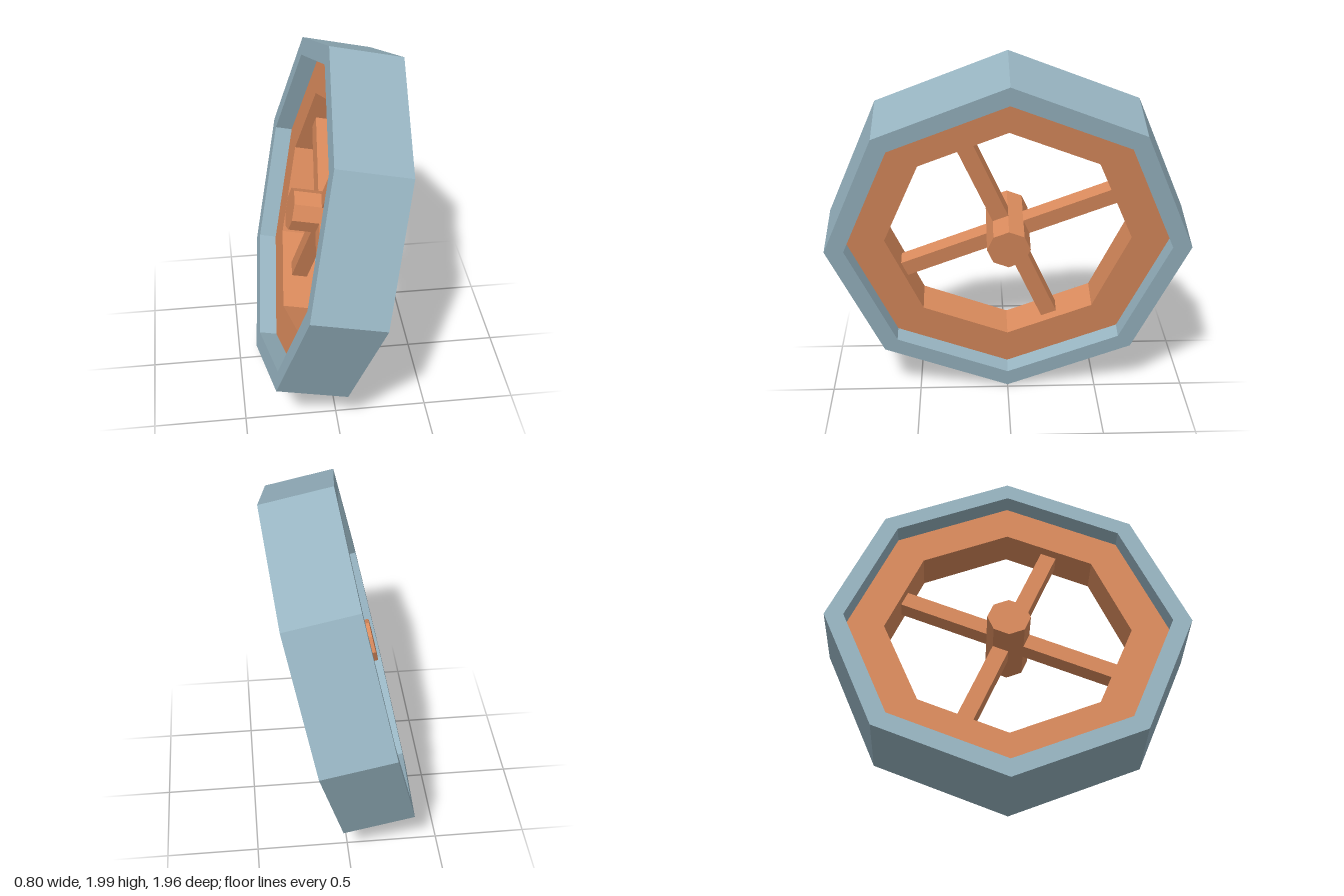
import * as THREE from 'three';

const WIDTH = 0.39;
const blue = new THREE.MeshStandardMaterial({ color: 0x97b4c1, flatShading: true });
const orange = new THREE.MeshStandardMaterial({ color: 0xd98a5c, flatShading: true });

// Octagon outline with a corner pointing straight up
function octagon(radius) {
  return Array.from({ length: 8 }, (_, i) => {
    const a = (i * Math.PI) / 4;
    return new THREE.Vector2(Math.cos(a) * radius, Math.sin(a) * radius);
  });
}

// Octagonal ring around the x axis
function ring(name, outer, inner, width, material) {
  const shape = new THREE.Shape(octagon(outer));
  shape.holes.push(new THREE.Path(octagon(inner)));
  const geometry = new THREE.ExtrudeGeometry(shape, { depth: width, bevelEnabled: false });
  geometry.translate(0, 0, -width / 2).rotateY(Math.PI / 2);
  const mesh = new THREE.Mesh(geometry, material);
  mesh.name = name;
  return mesh;
}

export function createModel() {
  const wheel = new THREE.Group();
  wheel.name = 'wheel';

  // Tire and the narrower recessed rim
  wheel.add(ring('tire', 0.978, 0.875, WIDTH, blue));
  wheel.add(ring('rim', 0.875, 0.665, WIDTH / 2, orange));

  // Octagonal hub, as wide as the tire
  const hub = new THREE.Mesh(
    new THREE.CylinderGeometry(0.116, 0.116, WIDTH, 8).rotateZ(Math.PI / 2),
    orange
  );
  hub.name = 'hub';
  wheel.add(hub);

  // Four square spokes from the hub to the flats of the rim
  const spokeGeometry = new THREE.BoxGeometry(0.09, 0.57, 0.09).translate(0, 0.335, 0);
  for (let i = 0; i < 4; i++) {
    const spoke = new THREE.Mesh(spokeGeometry, orange);
    spoke.name = 'spoke';
    spoke.rotation.x = Math.PI / 8 + (i * Math.PI) / 2;
    wheel.add(spoke);
  }

  // Lean the wheel and stand it on the ground
  wheel.rotation.z = THREE.MathUtils.degToRad(-12.5);
  wheel.position.y = 1;

  const model = new THREE.Group();
  model.name = 'leaningWheel';
  model.add(wheel);
  return model;
}
